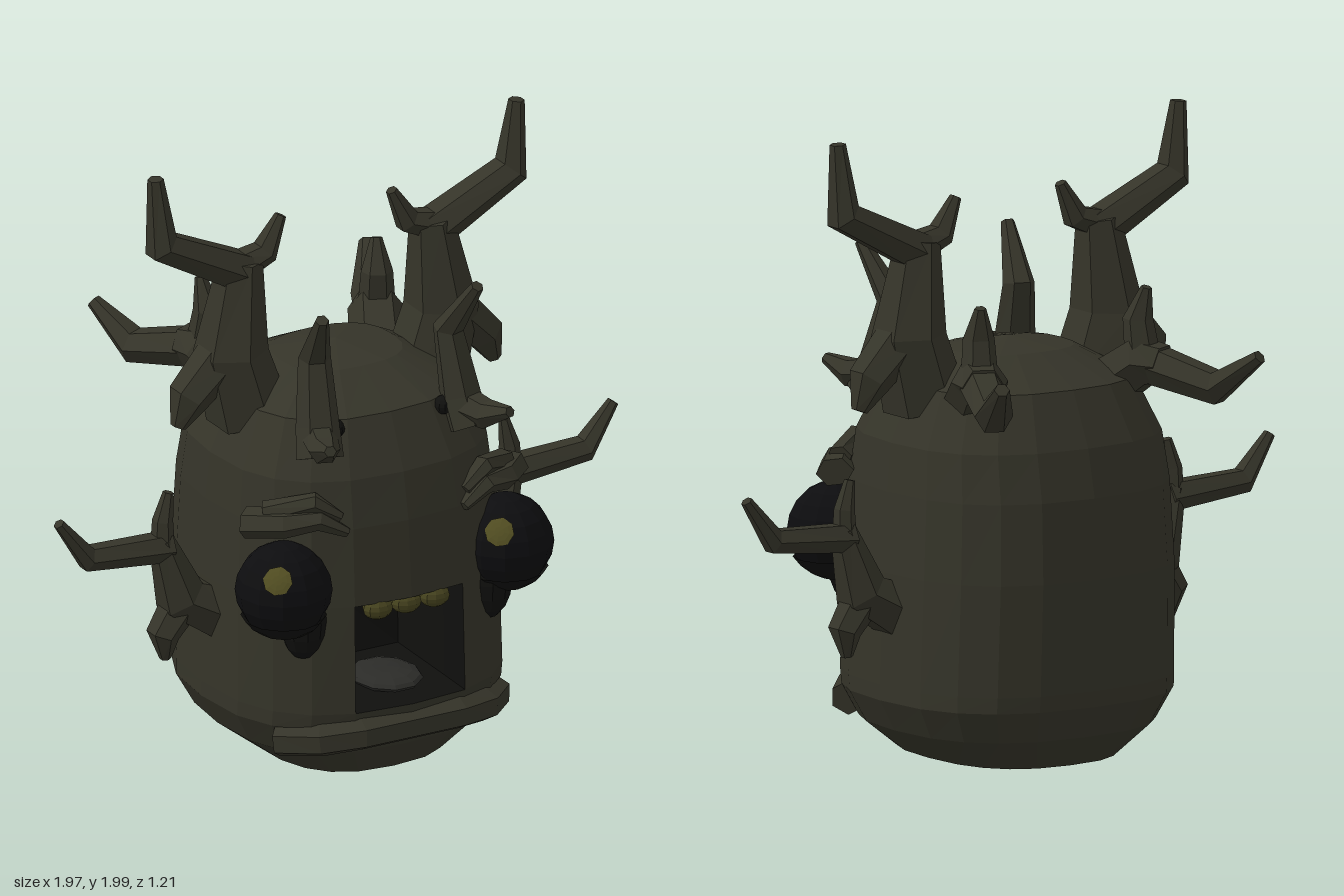
import * as THREE from 'three';

const material = (name, color, side = THREE.FrontSide) => {
  const m = new THREE.MeshStandardMaterial({ color, side });
  m.name = name;
  return m;
};
const bark = material('dark olive bark', 0x353429);
const black = material('eye black', 0x0d0d0f);
const hollow = material('hollow black', 0x10100e, THREE.DoubleSide);
const glow = material('dull yellow', 0x524e22);
const toothColor = material('tooth olive', 0x47441f);
const tongueColor = material('tongue grey', 0x2b2b28);

const V = (x, y, z = 0) => new THREE.Vector3(x, y, z);

// Adds a mesh with faceted normals
function add(parent, name, geo, mat, pos = V(0, 0)) {
  const g = geo.index ? geo.toNonIndexed() : geo;
  g.computeVertexNormals();
  const mesh = new THREE.Mesh(g, mat);
  mesh.name = name;
  mesh.position.copy(pos);
  parent.add(mesh);
  return mesh;
}

// Ellipsoid part
function blob(parent, name, mat, pos, size) {
  add(parent, name, new THREE.SphereGeometry(1, 10, 8), mat, pos).scale.copy(size);
}

// Skin over closed rings of points, with optional end points and skipped quads
function loft(rings, start, end, skip = () => false) {
  const pts = [];
  const n = rings[0].length;
  const last = rings[rings.length - 1];
  for (let j = 0; j < n; j++) {
    const k = (j + 1) % n;
    for (let i = 0; i < rings.length - 1; i++) {
      if (skip(i, j)) continue;
      const [p, q] = [rings[i], rings[i + 1]];
      pts.push(p[j], p[k], q[k], p[j], q[k], q[j]);
    }
    if (start) pts.push(start, rings[0][k], rings[0][j]);
    if (end) pts.push(end, last[j], last[k]);
  }
  return new THREE.BufferGeometry().setFromPoints(pts);
}

// Six-sided limb along a path, thinning towards its tip
function limb(path, r0, r1, depth = 1.2, ref = V(0, 0, 1)) {
  const end = path.length - 1;
  const rings = path.map((c, i) => {
    const t = path[Math.min(i + 1, end)].clone().sub(path[Math.max(i - 1, 0)]).normalize();
    const e2 = ref.clone().addScaledVector(t, -ref.dot(t)).normalize();
    const e1 = e2.clone().cross(t);
    const r = r0 + (r1 - r0) * (i / end) ** 2;
    return Array.from({ length: 6 }, (_, k) => {
      const a = Math.PI / 6 + k * Math.PI / 3;
      return c.clone()
        .addScaledVector(e1, Math.cos(a) * r * 1.12)
        .addScaledVector(e2, Math.sin(a) * r * depth);
    });
  });
  return loft(rings, path[0], path[end]);
}

// Flat branching antler, turned about y to face outwards and mirrored by s
function antler(parent, s, name, x, z, turn, trunk, ...branches) {
  const group = new THREE.Group();
  group.name = name;
  group.position.set(s * x, 0, z);
  group.rotation.y = s > 0 ? turn : Math.PI - turn;
  const [path, r0, r1] = trunk;
  add(group, name + 'Trunk', limb(path, r0, r1), bark);
  for (const [p, a, b] of branches) add(group, name + 'Branch', limb(p, a, b), bark);
  parent.add(group);
}

// Head sections: height, half width, front z, back z
const sections = [
  [0.05, 0.29, 0.43, -0.27], [0.15, 0.42, 0.50, -0.35], [0.25, 0.475, 0.54, -0.395],
  [0.30, 0.475, 0.55, -0.40], [0.65, 0.468, 0.54, -0.41], [0.90, 0.455, 0.52, -0.395],
  [1.05, 0.44, 0.49, -0.36], [1.22, 0.36, 0.41, -0.28], [1.31, 0.2, 0.24, -0.1],
];

function buildHead(model) {
  // Rounded-square sections, starting at the middle of the face
  const round = v => Math.sign(v) * Math.abs(v) ** 0.77;
  const rings = sections.map(([y, w, front, back]) => Array.from({ length: 20 }, (_, j) => {
    const a = j * Math.PI / 10;
    return V(round(Math.sin(a)) * w, y, (front + back) / 2 + round(Math.cos(a)) * (front - back) / 2);
  }));
  const mouthColumns = [0, 19];
  add(model, 'head', loft(rings, V(0, 0.01, 0.07), V(0, 1.34, 0.07),
    (i, j) => i === 3 && mouthColumns.includes(j)), bark);

  // Mouth cavity narrowing inwards from the opening
  const [low, high] = [rings[3], rings[4]];
  const rim = [low[19], low[0], low[1], high[1], high[0], high[19]];
  const inner = (k, z) => rim.map(p => V(p.x * k, 0.48 + (p.y - 0.48) * k, z));
  add(model, 'mouthCavity', loft([rim, inner(0.88, 0.44), inner(0.75, 0.2)], null, V(0, 0.48, 0.18)), hollow);

  // Tongue, teeth and lower lip
  blob(model, 'tongue', tongueColor, V(0, 0.335, 0.38), V(0.11, 0.03, 0.13));
  for (const x of [-0.1, 0, 0.1]) {
    blob(model, 'tooth', toothColor, V(x, 0.625, 0.505), V(0.05, 0.037, 0.04));
  }
  const lip = [-1, -0.75, -0.45, 0.45, 0.75, 1].map(t => V(t * 0.38, 0.235 - 0.035 * t * t, 0.53 - 0.15 * t ** 4));
  add(model, 'lowerLip', limb(lip, 0.05, 0.05, 1.1, V(0, 1, 0)), bark);
}

function buildFaceSide(side, s) {
  // Bulging eye, lower lid, socket and glint
  const at = V(s * 0.39, 0.72, 0.433);
  const turn = Math.PI * 2;
  add(side, 'eye', new THREE.SphereGeometry(0.15, 12, 10), black, at);
  add(side, 'lowerLid', new THREE.SphereGeometry(0.157, 12, 4, 0, turn, 2.14, 1), hollow, at);
  blob(side, 'socket', hollow, V(s * 0.325, 0.61, 0.44), V(0.075, 0.13, 0.075));
  add(side, 'eyeGlint', new THREE.SphereGeometry(0.152, 8, 3, 0, turn, 0, 0.31), glow, at)
    .quaternion.setFromUnitVectors(V(0, 1, 0), V(-0.078, 0.08, 0.1).normalize());

  // Two-layered angular brow
  add(side, 'brow', limb([V(s * 0.465, 0.92, 0.33), V(s * 0.38, 0.935, 0.43),
    V(s * 0.29, 0.945, 0.475), V(s * 0.205, 0.895, 0.5)], 0.042, 0.015, 1.4), bark);
  add(side, 'browRidge', limb([V(s * 0.42, 0.955, 0.37), V(s * 0.295, 0.995, 0.46),
    V(s * 0.22, 0.94, 0.48)], 0.034, 0.018), bark);

  // Small pit beside the front antler
  blob(side, 'pit', hollow, V(s * 0.19, 1.2, 0.4), V(0.03, 0.03, 0.03));
}

function buildAntlers(side, s) {
  antler(side, s, 'topAntler', 0, 0.07, 0,
    [[V(0.31, 1.16), V(0.37, 1.38), V(0.335, 1.67)], 0.115, 0.06],
    [[V(0.33, 1.63), V(0.615, 1.775), V(0.635, 2)], 0.06, 0.022],
    [[V(0.34, 1.65), V(0.25, 1.68), V(0.195, 1.79)], 0.045, 0.016],
    [[V(0.39, 1.38), V(0.52, 1.25), V(0.555, 1.16)], 0.07, 0.022]);

  antler(side, s, 'sideAntler', 0, 0.07, 0,
    [[V(0.42, 0.53), V(0.55, 0.6), V(0.615, 0.8)], 0.085, 0.035],
    [[V(0.59, 0.77), V(0.875, 0.79), V(0.975, 0.925)], 0.045, 0.016],
    [[V(0.61, 0.78), V(0.61, 0.86), V(0.59, 0.95)], 0.033, 0.015],
    [[V(0.54, 0.58), V(0.61, 0.48), V(0.6, 0.4)], 0.055, 0.016]);

  antler(side, s, 'backAntler', 0.25, -0.1, 1.13,
    [[V(0, 1.18), V(0.13, 1.27), V(0.2, 1.265)], 0.08, 0.055],
    [[V(0.13, 1.27), V(0.39, 1.21), V(0.54, 1.32)], 0.06, 0.02],
    [[V(0.13, 1.26), V(0.11, 1.4), V(0.14, 1.5)], 0.05, 0.015]);

  antler(side, s, 'frontAntler', 0.245, 0.38, -1.25,
    [[V(0.06, 1.13), V(0.02, 1.22), V(-0.03, 1.43), V(0.09, 1.6)], 0.062, 0.018],
    [[V(0, 1.2), V(0.13, 1.185), V(0.225, 1.22)], 0.05, 0.016]);
}

export function createModel() {
  const model = new THREE.Group();
  model.name = 'antleredHead';
  buildHead(model);
  for (const s of [-1, 1]) {
    const side = new THREE.Group();
    side.name = s > 0 ? 'leftSide' : 'rightSide';
    buildFaceSide(side, s);
    buildAntlers(side, s);
    model.add(side);
  }
  return model;
}
